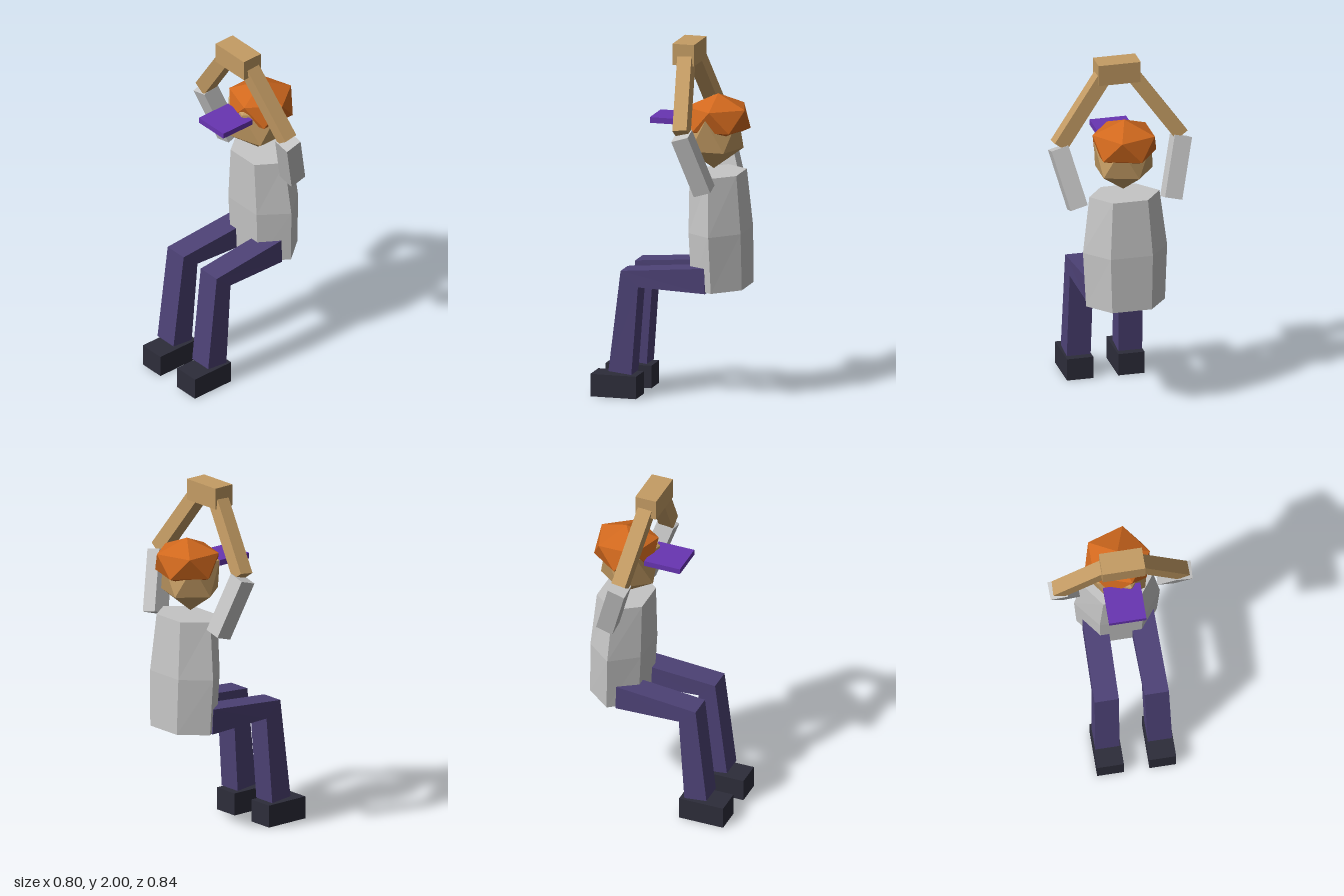
import * as THREE from 'three';
import { ConvexGeometry } from 'three/addons/geometries/ConvexGeometry.js';

const V = (x, y, z) => new THREE.Vector3(x, y, z);

function material(name, color) {
  const m = new THREE.MeshStandardMaterial({ color });
  m.name = name;
  m.flatShading = true;
  return m;
}

export function createModel() {
  const model = new THREE.Group();
  model.name = 'seatedFigure';
  const skin = material('skin', 0xc49c64);
  const shirt = material('shirtGrey', 0xc6c6c6);
  const hairColor = material('hairOrange', 0xd2691e);
  const trousers = material('trousersPurple', 0x4d4276);
  const shoeColor = material('shoeDark', 0x2d2d3a);
  const visorColor = material('visorPurple', 0x6835b2);

  function add(name, geometry, mat) {
    const mesh = new THREE.Mesh(geometry, mat);
    mesh.name = name;
    model.add(mesh);
    return mesh;
  }

  // Box given by its lower and upper corners
  function box(name, a, b, mat) {
    const size = b.clone().sub(a);
    add(name, new THREE.BoxGeometry(size.x, size.y, size.z), mat)
      .position.copy(a).add(b).multiplyScalar(0.5);
  }

  // Square bar running from one point to another
  function bar(name, from, to, width, mat) {
    const dir = to.clone().sub(from);
    const mesh = add(name, new THREE.BoxGeometry(width, dir.length(), width), mat);
    mesh.position.copy(from).add(to).multiplyScalar(0.5);
    mesh.quaternion.setFromUnitVectors(V(0, 1, 0), dir.normalize());
  }

  // Closed skin over cross-sections, counter-clockwise seen from the last one
  function loft(rings) {
    const n = rings[0].length;
    const index = [];
    for (let r = 0; r < rings.length - 1; r++) {
      for (let i = 0; i < n; i++) {
        const a = r * n + i, b = r * n + (i + 1) % n;
        index.push(a, b, b + n, a, b + n, a + n);
      }
    }
    const last = (rings.length - 1) * n;
    for (let i = 1; i < n - 1; i++) {
      index.push(0, i + 1, i, last, last + i, last + i + 1);
    }
    let g = new THREE.BufferGeometry().setFromPoints(rings.flat());
    g.setIndex(index);
    g = g.toNonIndexed();
    g.computeVertexNormals();
    return g;
  }

  // Twenty-sided ball standing on a corner
  function ball(name, center, rx, ry, rz, mat) {
    const pts = [V(0, ry, 0), V(0, -ry, 0)];
    for (let i = 0; i < 5; i++) {
      const a = i * Math.PI * 0.4;
      const x = rx * 0.8944 * Math.cos(a), z = rz * 0.8944 * Math.sin(a);
      pts.push(V(x, ry * 0.4472, z), V(-x, -ry * 0.4472, z));
    }
    add(name, new ConvexGeometry(pts), mat).position.copy(center);
  }

  // Six-sided torso, leaning slightly: height, depth centre, half width, half depth
  const sections = [
    [0.624, -0.275, 0.225, 0.145],
    [0.942, -0.265, 0.24, 0.15],
    [1.266, -0.25, 0.2, 0.135],
  ];
  add('torso', loft(sections.map(([y, zc, w, d]) => {
    const ring = [];
    for (let i = 0; i < 6; i++) {
      const a = -i * Math.PI / 3;
      const dz = Math.sin(a) / Math.sin(Math.PI / 3) * d;
      ring.push(V(w * Math.cos(a), y - 0.04 * dz, zc + dz));
    }
    return ring;
  })), shirt);

  // Head, hair and visor
  ball('head', V(0, 1.493, -0.225), 0.188, 0.208, 0.183, skin);
  ball('hair', V(0, 1.574, -0.25), 0.203, 0.136, 0.2, hairColor);
  box('visor', V(-0.104, 1.541, -0.1), V(0.104, 1.573, 0.113), visorColor);

  // Joined hands above the head
  box('hands', V(-0.12, 1.88, -0.147), V(0.12, 2, -0.022), skin);

  for (const [side, s] of [['left', 1], ['right', -1]]) {
    // Raised arm
    bar(side + 'UpperArm', V(s * 0.267, 1.212, -0.25), V(s * 0.35, 1.535, -0.145), 0.1, shirt);
    bar(side + 'Forearm', V(s * 0.347, 1.548, -0.143), V(s * 0.075, 1.925, -0.09), 0.082, skin);

    // Bent leg: centre x, upper/front edge and lower/back edge of each section
    const leg = [
      [0.131, 0.757, -0.228, 0.614, -0.233],
      [0.14, 0.717, 0.25, 0.63, 0.15],
      [0.147, 0.148, 0.318, 0.134, 0.186],
    ];
    add(side + 'Leg', loft(leg.map(([x, y1, z1, y2, z2]) => [
      V(s * x - 0.068, y1, z1), V(s * x - 0.068, y2, z2),
      V(s * x + 0.068, y2, z2), V(s * x + 0.068, y1, z1),
    ])), trousers);

    // Shoe
    const x = s * 0.146;
    box(side + 'Shoe', V(x - 0.075, 0, 0.157), V(x + 0.075, 0.127, 0.42), shoeColor);
  }
  return model;
}
